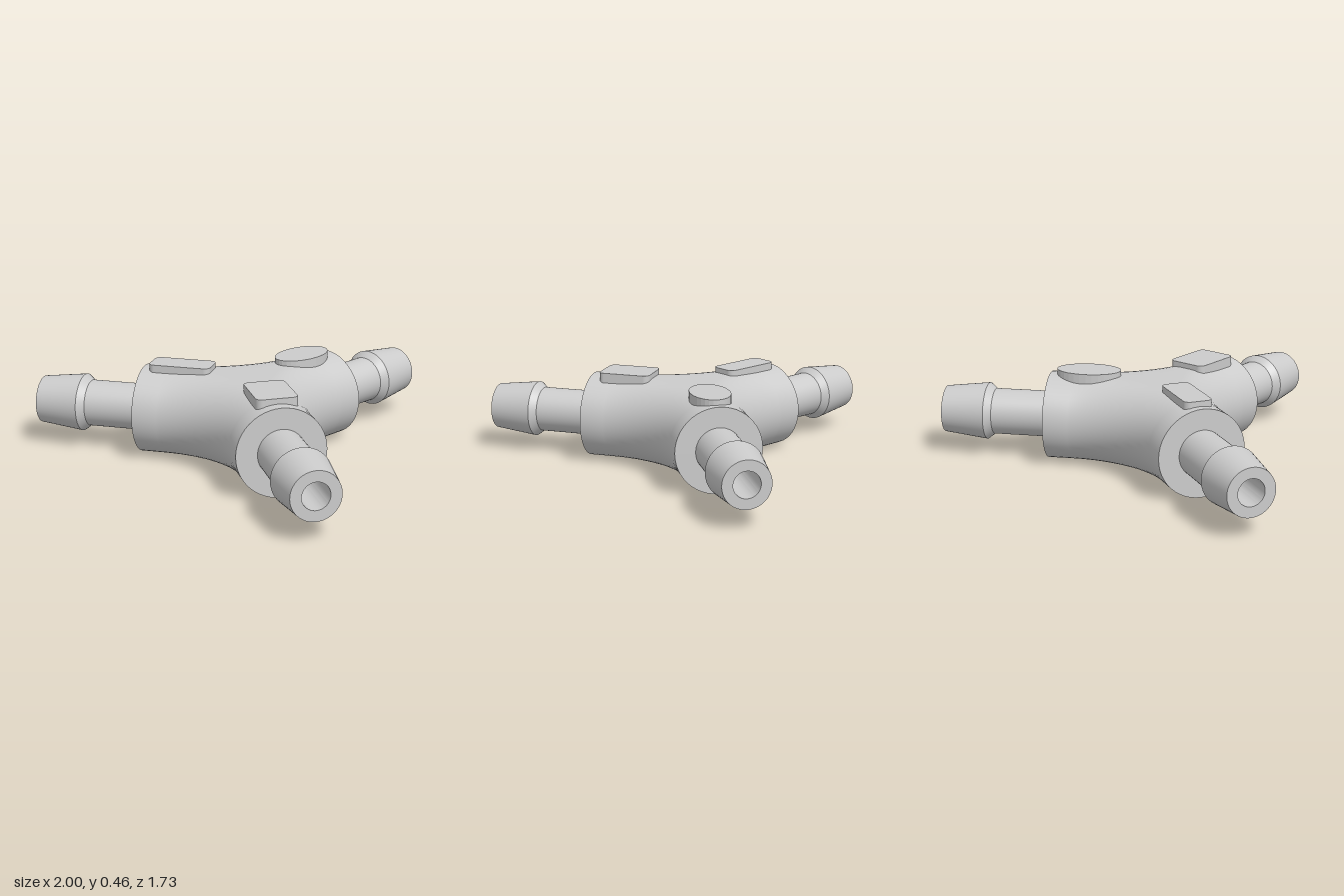
import * as THREE from 'three';
import { toCreasedNormals } from 'three/addons/utils/BufferGeometryUtils.js';

const R = 0.217;          // body tube radius
const BODY_END = 0.545;   // body length along each arm
const FILLET_D = 0.843;   // fillet centre distance from the hub
const FILLET_R = 0.73;    // radius of the tube axis around that centre
const THIRD = Math.PI * 2 / 3;

const material = new THREE.MeshStandardMaterial({ color: 0xcccccc });

function mesh(name, geometry) {
  const m = new THREE.Mesh(geometry, material);
  m.name = name;
  return m;
}

// One third of the hub: a half round swept from one arm into the next,
// closed by flat webs above and below that reach the arm axes.
function hubThird() {
  const arcSteps = 32, round = 24, path = [];
  const arm = side => new THREE.Vector2(side * Math.sin(Math.PI / 3), 0.5);
  const addEnd = side => path.push({ p: arm(side).multiplyScalar(BODY_END), a: side * Math.PI / 6 });
  addEnd(1);
  for (let i = 0; i <= arcSteps; i++) {
    const a = Math.PI / 6 * (1 - 2 * i / arcSteps);
    path.push({ p: new THREE.Vector2(FILLET_R * Math.sin(a), FILLET_D - FILLET_R * Math.cos(a)), a });
  }
  addEnd(-1);

  const pos = [], index = [], row = round + 3;
  path.forEach(({ p, a }, i) => {
    const side = Math.sign(Math.round(a * 1e6));
    const axis = arm(side);
    const q = side === 0 ? new THREE.Vector2() : axis.clone().multiplyScalar(p.dot(axis));
    pos.push(q.x, R, q.y);
    for (let j = 0; j <= round; j++) {
      const f = Math.PI * j / round, out = R * Math.sin(f);
      pos.push(p.x - Math.sin(a) * out, R * Math.cos(f), p.y + Math.cos(a) * out);
    }
    pos.push(q.x, -R, q.y);
    if (i === 0) return;
    for (let j = 0; j < row - 1; j++) {
      const k = (i - 1) * row + j, n = k + row;
      index.push(k, n, k + 1, n, n + 1, k + 1);
    }
  });
  const g = new THREE.BufferGeometry();
  g.setAttribute('position', new THREE.Float32BufferAttribute(pos, 3));
  g.setIndex(index);
  g.computeVertexNormals();
  return g;
}

// Hose barb with its bore, turned along +z
function barbGeometry() {
  const profile = [
    [0.115, 0.53], [0.115, 0.83], [0.143, 0.865],
    [0.117, 1.085], [0.065, 1.085], [0.065, 0]
  ].map(([r, s]) => new THREE.Vector2(r, s));
  return toCreasedNormals(new THREE.LatheGeometry(profile, 48).rotateX(Math.PI / 2), 0.25);
}

// Raised pad outlines, long side along the arm
function ovalPad(w, l) {
  return new THREE.Shape().absellipse(0, 0, w, l, 0, Math.PI * 2);
}
function roundedPad(w, l, r) {
  const s = new THREE.Shape();
  s.absarc(w - r, l - r, r, 0, Math.PI / 2);
  s.absarc(r - w, l - r, r, Math.PI / 2, Math.PI);
  s.absarc(r - w, r - l, r, Math.PI, Math.PI * 1.5);
  s.absarc(w - r, r - l, r, Math.PI * 1.5, Math.PI * 2);
  s.closePath();
  return s;
}

export function createModel() {
  const model = new THREE.Group();
  model.name = 'hoseConnector';
  const core = new THREE.Group();
  core.name = 'connectorBody';
  core.position.set(0, R, 0.22);
  model.add(core);

  const hub = hubThird();
  const barb = barbGeometry();
  const endFace = new THREE.RingGeometry(0.1, R, 48);
  const arms = [
    { name: 'leftArm', pad: roundedPad(0.1, 0.135, 0.03) },
    { name: 'backArm', pad: ovalPad(0.1, 0.16) },
    { name: 'rightArm', pad: roundedPad(0.07, 0.155, 0.03) }
  ];

  arms.forEach(({ name, pad }, i) => {
    // Hub third between two neighbouring arms
    const third = mesh('hubThird', hub);
    third.rotation.y = i * THIRD;
    core.add(third);

    // Arm with end face, barb and raised pad
    const arm = new THREE.Group();
    arm.name = name;
    arm.rotation.y = Math.PI / 3 + i * THIRD;
    const face = mesh('endFace', endFace);
    face.position.z = BODY_END;
    const padGeometry = new THREE.ExtrudeGeometry(pad, { depth: 0.09, bevelEnabled: false, curveSegments: 16 });
    const raised = mesh('raisedPad', padGeometry.rotateX(-Math.PI / 2));
    raised.position.set(0, 0.153, 0.35);
    arm.add(face, mesh('hoseBarb', barb), raised);
    core.add(arm);
  });
  return model;
}
